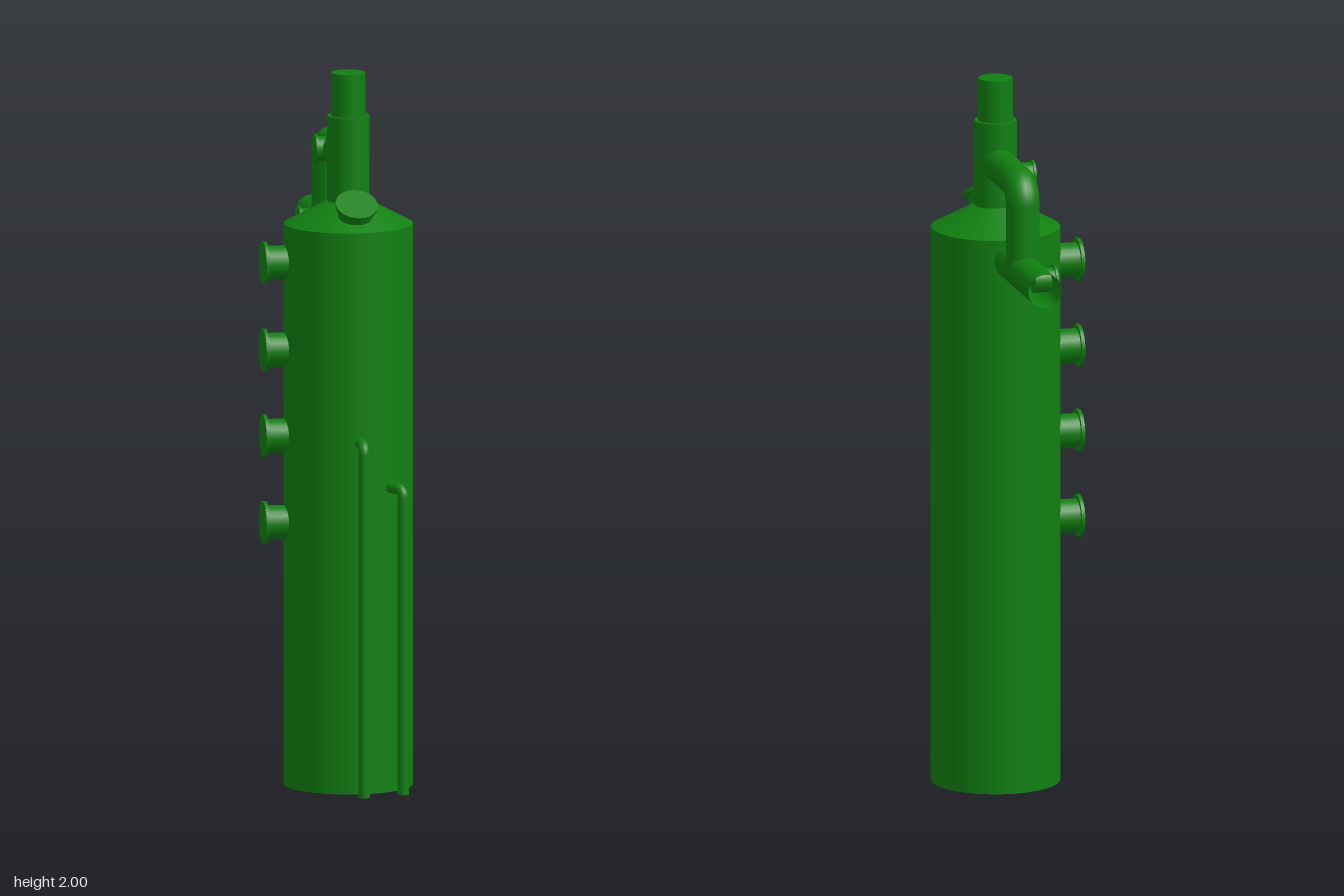
import * as THREE from 'three';

const green = new THREE.MeshStandardMaterial({ color: 0x108010 });
const greenOpen = new THREE.MeshStandardMaterial({ color: 0x108010, side: THREE.DoubleSide });
const grey = new THREE.MeshStandardMaterial({ color: 0xcccccc });

const CX = 0.03, CZ = 0.148; // axis of the vessel
const UP = new THREE.Vector3(0, 1, 0);
const v = (x, y, z) => new THREE.Vector3(x, y, z);

function add(parent, name, geometry, material = green) {
  const mesh = new THREE.Mesh(geometry, material);
  mesh.name = name;
  parent.add(mesh);
  return mesh;
}

// Straight cylinder between two points
function rod(parent, name, a, b, r, open = false) {
  const mesh = add(parent, name,
    new THREE.CylinderGeometry(r, r, a.distanceTo(b), 24, 1, open), open ? greenOpen : green);
  mesh.position.copy(a).add(b).multiplyScalar(0.5);
  mesh.quaternion.setFromUnitVectors(UP, b.clone().sub(a).normalize());
  return mesh;
}

// Pipe a -> corner -> b with a rounded bend of the given radius
function bentPipe(parent, name, a, corner, b, bend, r) {
  const p = corner.clone().add(a.clone().sub(corner).setLength(bend));
  const q = corner.clone().add(b.clone().sub(corner).setLength(bend));
  const k = 0.448 * bend; // handle inset for a near-circular arc
  const path = new THREE.CurvePath();
  path.add(new THREE.LineCurve3(a, p));
  path.add(new THREE.CubicBezierCurve3(p,
    corner.clone().add(a.clone().sub(corner).setLength(k)),
    corner.clone().add(b.clone().sub(corner).setLength(k)), q));
  path.add(new THREE.LineCurve3(q, b));
  add(parent, name, new THREE.TubeGeometry(path, 160, r, 20), greenOpen);
}

// Flanged nozzle: a neck from base to face, ending in a wider disc
function nozzle(parent, name, base, face, neckR, flangeR, thickness) {
  const group = new THREE.Group();
  group.name = name;
  const back = face.clone().add(base.clone().sub(face).setLength(thickness));
  rod(group, 'neck', base, back, neckR);
  rod(group, 'flange', back, face, flangeR);
  parent.add(group);
}

export function createModel() {
  const model = new THREE.Group();
  model.name = 'verticalVessel';

  // Vessel shell, conical roof and base plate
  const shell = add(model, 'shell', new THREE.CylinderGeometry(0.18, 0.18, 1.577, 24, 1, true));
  shell.position.set(CX, 1.577 / 2, CZ);
  const roof = add(model, 'roof', new THREE.CylinderGeometry(0.05, 0.18, 0.068, 24, 1, true));
  roof.position.set(CX, 1.577 + 0.034, CZ);
  const base = add(model, 'basePlate', new THREE.CircleGeometry(0.18, 24), grey);
  base.rotation.x = Math.PI / 2;
  base.position.set(CX, 0, CZ);

  // Stepped stack
  rod(model, 'lowerStack', v(CX, 1.6, CZ), v(CX, 1.88, CZ), 0.059);
  rod(model, 'upperStack', v(CX, 1.87, CZ), v(CX, 2, CZ), 0.048);

  // Outlet pipe at the back and the bypass bending down into it
  rod(model, 'outletPipe', v(CX, 1.517, 0), v(CX, 1.517, -0.4), 0.048, true);
  bentPipe(model, 'bypassPipe', v(CX, 1.76, CZ), v(CX, 1.76, -0.153), v(CX, 1.517, -0.153), 0.055, 0.047);

  // Small nozzles on the pipes
  nozzle(model, 'outletNozzle', v(CX, 1.517, -0.263), v(-0.035, 1.517, -0.263), 0.034, 0.041, 0.007);
  nozzle(model, 'bypassNozzle', v(CX, 1.76, -0.02), v(-0.035, 1.76, -0.02), 0.034, 0.041, 0.007);

  // Row of nozzles along one side of the shell
  for (const y of [0.74, 0.983, 1.225, 1.47]) {
    nozzle(model, 'sideNozzle', v(-0.12, y, 0.14), v(-0.21, y, 0.14), 0.048, 0.06, 0.01);
  }

  // Tilted nozzle on the roof
  const tilt = 0.56;
  const face = v(CX, 1.65, 0.272);
  const foot = face.clone().sub(v(0, Math.cos(tilt), Math.sin(tilt)).multiplyScalar(0.065));
  nozzle(model, 'roofNozzle', foot, face, 0.048, 0.059, 0.011);

  // Thin drop pipes running to the ground at the front
  for (const [angle, y] of [[0, 0.987], [Math.PI / 6, 0.857]]) {
    const at = (r, h) => v(CX + r * Math.sin(angle), h, CZ + r * Math.cos(angle));
    bentPipe(model, 'dropPipe', at(0.16, y), at(0.233, y), at(0.233, 0), 0.022, 0.016);
    const cap = add(model, 'dropPipeEnd', new THREE.CircleGeometry(0.016, 20));
    cap.rotation.x = Math.PI / 2;
    cap.position.copy(at(0.233, 0));
  }

  return model;
}
